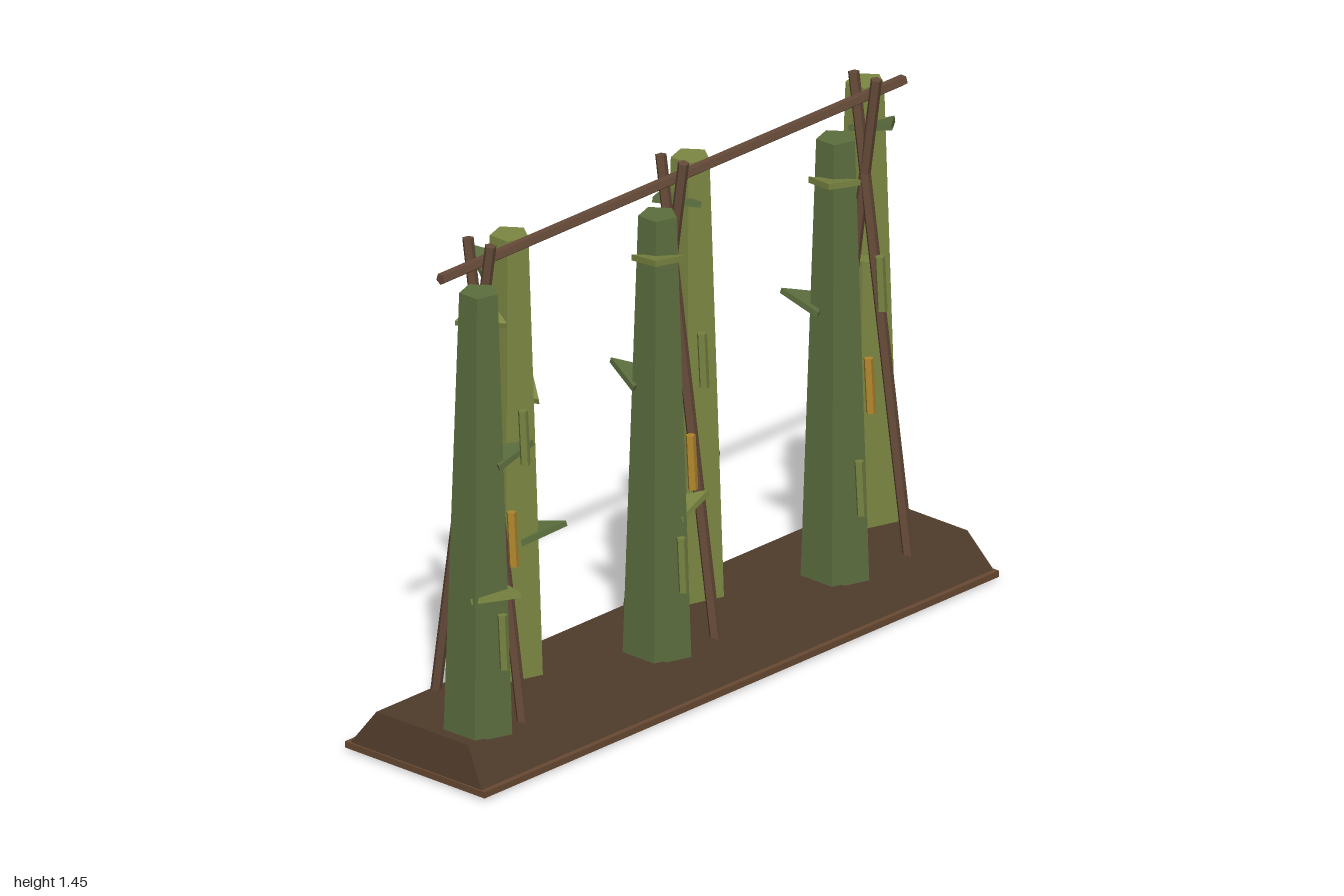
import * as THREE from 'three';

const mat = (name, color) => Object.assign(new THREE.MeshStandardMaterial({ color }), { name });

// Faceted normals for the low-poly look
function flat(geometry) {
  const g = geometry.index ? geometry.toNonIndexed() : geometry;
  g.computeVertexNormals();
  return g;
}

export function createModel() {
  const model = new THREE.Group();
  model.name = 'trellisBed';

  const soil = mat('dark soil', 0x4f3b2b);
  const trim = mat('bed edge', 0x694a33);
  const wood = mat('pole wood', 0x654a38);
  const lightGreen = mat('light green', 0x7c8843);
  const darkGreen = mat('dark green', 0x5c6e3e);
  const podGreen = mat('pod green', 0x748240);
  const gold = mat('ripe pod', 0xb0862c);

  function add(parent, name, geometry, material, x = 0, y = 0, z = 0) {
    const mesh = new THREE.Mesh(flat(geometry), material);
    mesh.name = name;
    mesh.position.set(x, y, z);
    parent.add(mesh);
    return mesh;
  }

  // Bed: thin slab with a sloped mound on it
  add(model, 'bedEdge', new THREE.BoxGeometry(0.5, 0.018, 2), trim, 0, 0.016, 0);
  const mound = new THREE.BoxGeometry(0.47, 0.1, 1.99);
  const p = mound.attributes.position;
  for (let i = 0; i < p.count; i++) {
    if (p.getY(i) > 0) {
      p.setX(i, Math.sign(p.getX(i)) * 0.165);
      p.setZ(i, Math.sign(p.getZ(i)) * 0.97);
    }
  }
  add(model, 'soilMound', mound, soil, 0, 0.075, 0);

  // Straight pole between two points
  function pole(name, a, b, radius) {
    const dir = b.clone().sub(a);
    const mesh = add(model, name, new THREE.CylinderGeometry(radius, radius, dir.length(), 5), wood);
    mesh.position.copy(a).add(b).multiplyScalar(0.5);
    mesh.quaternion.setFromUnitVectors(new THREE.Vector3(0, 1, 0), dir.normalize());
  }

  // Three crossed pole pairs and the ridge bar
  for (const z of [0.75, 0, -0.75]) {
    for (const s of [-1, 1]) {
      pole('crossPole', new THREE.Vector3(s * 0.172, 0.003, z), new THREE.Vector3(-s * 0.041, 1.453, z), 0.016);
    }
  }
  pole('ridgePole', new THREE.Vector3(0, 1.393, -0.9), new THREE.Vector3(0, 1.393, 0.9), 0.016);

  // Plants: z position and the heading of the low, middle and high leaf in degrees
  const plants = [
    [0.858, [90, 150, 215]],
    [0.522, [130, 200, 270]],
    [0.162, [160, 280, 40]],
    [-0.182, [205, 290, 0]],
    [-0.53, [240, 300, 35]],
    [-0.861, [305, 0, 70]],
  ];
  plants.forEach(([z, headings], i) => {
    const side = i % 2 ? -1 : 1;
    const plant = new THREE.Group();
    plant.name = 'plant';
    plant.position.set(side * 0.1, 0, z);
    model.add(plant);

    // Tapered five-sided column, one flat facing front
    add(plant, 'stalk', new THREE.CylinderGeometry(0.054, 0.096, 1.255, 5, 1, false, Math.PI),
      side > 0 ? darkGreen : lightGreen, 0, 0.7475, 0);

    // Triangular leaves, tips slightly raised
    headings.forEach((deg, j) => {
      const leaf = new THREE.CylinderGeometry(0.08, 0.08, 0.016, 3);
      leaf.rotateX(-0.27);
      leaf.translate(0, 0, 0.073);
      leaf.rotateY(THREE.MathUtils.degToRad(deg));
      add(plant, 'leaf', leaf, (i + j) % 2 ? darkGreen : lightGreen, 0, 0.525 + j * 0.375, 0);
    });

    // Hanging pods on the outer side
    [[0.393, 0], [0.677, -0.036], [0.955, -0.08]].forEach(([y, dz], j) => {
      const pod = add(plant, 'pod', new THREE.CylinderGeometry(0.014, 0.014, 0.153, 5),
        j === 1 ? gold : podGreen, side * 0.087, y, dz);
      pod.rotation.z = side * 0.06;
    });
  });

  return model;
}
